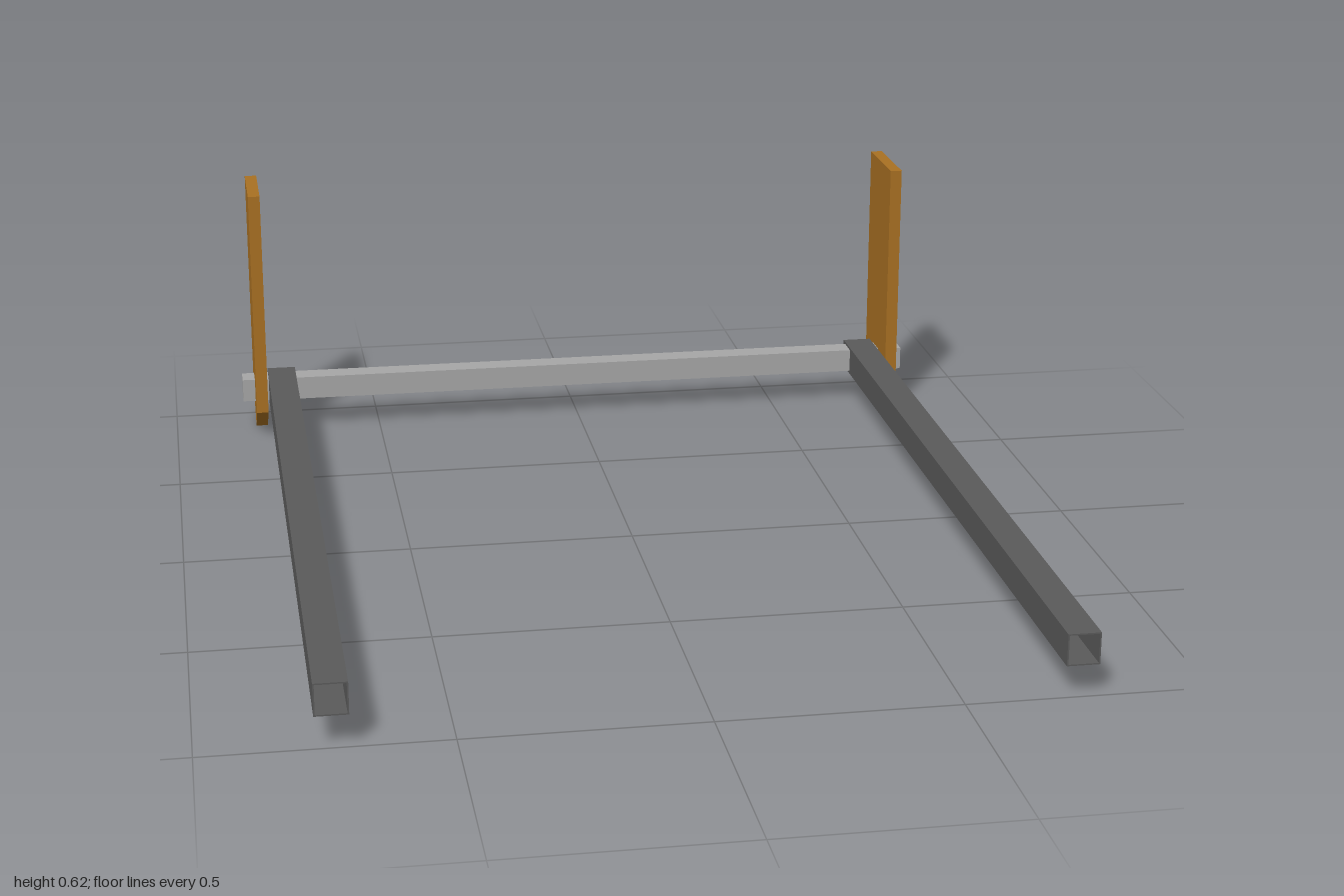
import * as THREE from 'three';

export function createModel() {
  const model = new THREE.Group();
  const darkSteel = new THREE.MeshStandardMaterial({ name: 'darkSteel', color: 0x5a5a5a });
  const lightSteel = new THREE.MeshStandardMaterial({ name: 'lightSteel', color: 0xa6a6a6 });
  const wood = new THREE.MeshStandardMaterial({ name: 'wood', color: 0xa87022 });

  const add = (name, geometry, material, x, y, z) => {
    const mesh = new THREE.Mesh(geometry, material);
    mesh.name = name;
    mesh.position.set(x, y, z);
    model.add(mesh);
  };
  const polygon = (Type, points) => new Type(points.map(([x, y]) => new THREE.Vector2(x, y)));
  const square = (Type, h) => polygon(Type, [[-h, -h], [h, -h], [h, h], [-h, h]]);

  // Hollow square tube, open at both ends, running along z
  const tubeShape = square(THREE.Shape, 0.034);
  tubeShape.holes.push(square(THREE.Path, 0.031));
  const tube = new THREE.ExtrudeGeometry(tubeShape, { depth: 1.94, bevelEnabled: false });

  // Upright plank with a pointed foot, thickness along x
  const plankShape = polygon(THREE.Shape,
    [[0, 0], [0.103, 0.068], [0.103, 0.615], [-0.103, 0.615], [-0.103, 0.068]]);
  const plank = new THREE.ExtrudeGeometry(plankShape, { depth: 0.028, bevelEnabled: false });
  plank.translate(0, 0, -0.014).rotateY(Math.PI / 2);

  for (const [side, s] of [['left', 1], ['right', -1]]) {
    add(side + 'Arm', tube, darkSteel, s * 0.737, 0.101, -0.94);
    add(side + 'Plank', plank, wood, s * 0.791, 0, -0.897);
  }

  // Square bar through the arms and planks
  add('crossBar', new THREE.BoxGeometry(1.67, 0.055, 0.055), lightSteel, 0, 0.102, -0.897);

  return model;
}
